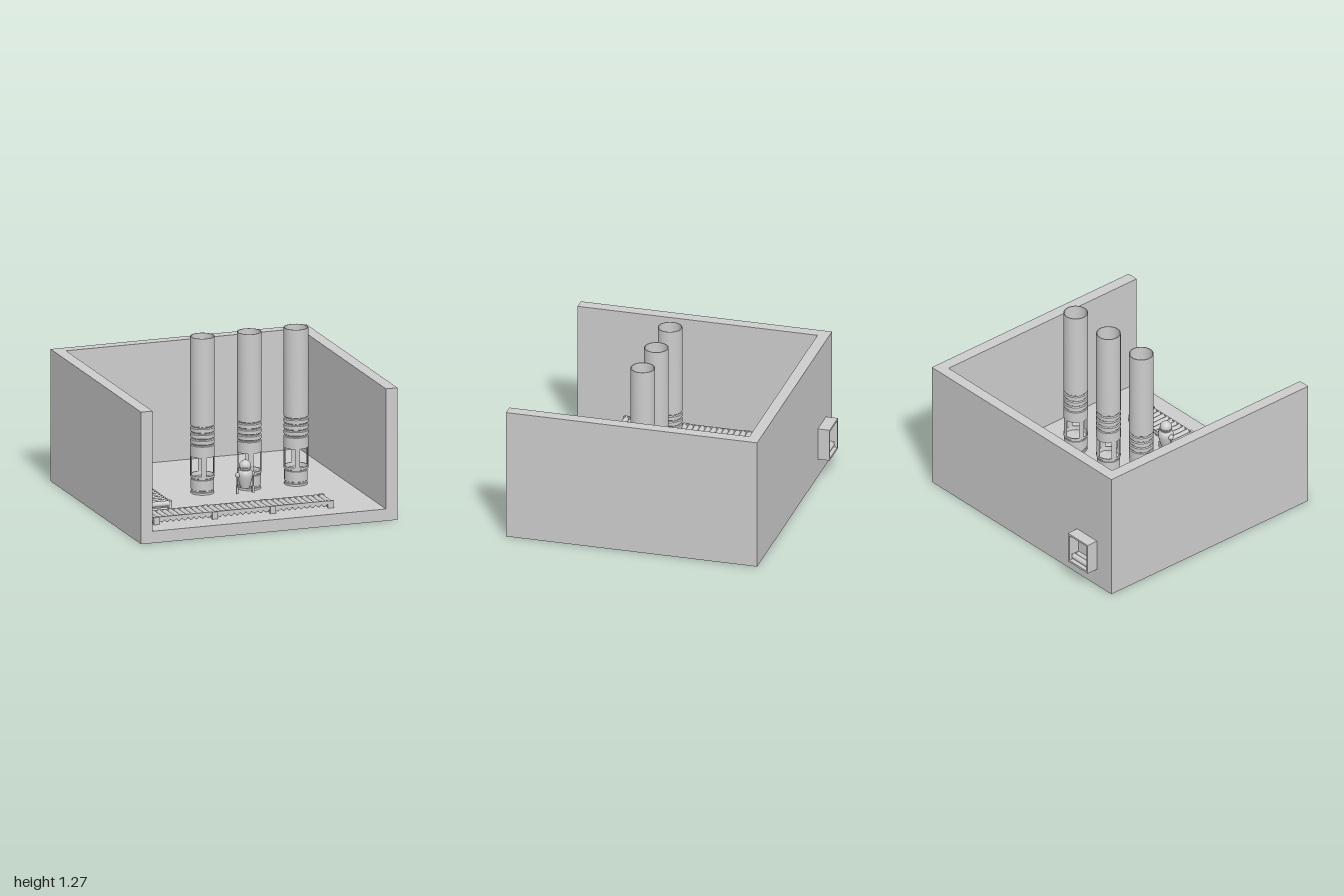
import * as THREE from 'three';
import { toCreasedNormals } from 'three/addons/utils/BufferGeometryUtils.js';

const mat = new THREE.MeshStandardMaterial({ color: 0xcccccc });
const thin = new THREE.MeshStandardMaterial({ color: 0xcccccc, side: THREE.DoubleSide });
const FLOOR = 0.09;

function add(parent, name, geometry, x = 0, y = 0, z = 0, material = mat) {
  const mesh = new THREE.Mesh(geometry, material);
  mesh.name = name;
  mesh.position.set(x, y, z);
  parent.add(mesh);
  return mesh;
}

// Box given by its low and high corners
function box(parent, name, a, b) {
  const size = b.map((v, i) => v - a[i]);
  const mid = b.map((v, i) => (v + a[i]) / 2);
  return add(parent, name, new THREE.BoxGeometry(...size), ...mid);
}

function lathe(points, sides = 32, start = 0, length = Math.PI * 2) {
  const g = new THREE.LatheGeometry(points.map(p => new THREE.Vector2(...p)), sides, start, length);
  return toCreasedNormals(g, 0.6);
}

// Floor and three walls, open towards the front
function room() {
  const g = new THREE.Group();
  g.name = 'room';
  box(g, 'floor', [-1, 0, -0.91], [1, FLOOR, 1]);
  const plan = new THREE.Shape([
    [-1, -1], [-0.91, -1], [-0.91, 0.825], [0.91, 0.825],
    [0.91, -1], [1, -1], [1, 0.91], [-1, 0.91],
  ].map(p => new THREE.Vector2(...p)));
  const walls = new THREE.ExtrudeGeometry(plan, { depth: 1 - FLOOR, bevelEnabled: false });
  add(g, 'walls', walls.rotateX(-Math.PI / 2), 0, FLOOR, 0);
  return g;
}

// Rectangular hatch frame on either side of the back wall
function hatch() {
  const outline = new THREE.Shape([[-0.84, 0.14], [-0.62, 0.14], [-0.62, 0.385], [-0.84, 0.385]]
    .map(p => new THREE.Vector2(...p)));
  outline.holes.push(new THREE.Path([[-0.825, 0.155], [-0.825, 0.37], [-0.635, 0.37], [-0.635, 0.155]]
    .map(p => new THREE.Vector2(...p))));
  const g = new THREE.Group();
  g.name = 'hatch';
  for (const [z, depth] of [[-1, 0.09], [-0.825, 0.275]])
    add(g, 'hatchFrame', new THREE.ExtrudeGeometry(outline, { depth, bevelEnabled: false }), 0, 0, z);
  return g;
}

// Roller conveyor along local x; top is the rail height
function conveyor(name, length, count, top, legs) {
  const g = new THREE.Group();
  g.name = name;
  const pitch = length / count;
  const roller = new THREE.CylinderGeometry(0.0215, 0.0215, 0.185, 16).rotateX(Math.PI / 2);
  for (let i = 0; i < count; i++)
    add(g, 'roller', roller, -length / 2 + pitch * (i + 0.5), top - 0.0225, 0);
  for (const s of [-1, 1]) {
    add(g, 'rail', new THREE.BoxGeometry(length, 0.026, 0.008), 0, top - 0.014, s * 0.095);
    for (const x of legs)
      add(g, 'leg', new THREE.BoxGeometry(0.044, top - FLOOR, 0.02), x, (top + FLOOR) / 2, s * 0.099);
  }
  for (const x of legs)
    add(g, 'crossbar', new THREE.BoxGeometry(0.044, 0.01, 0.19), x, top - 0.043, 0);
  return g;
}

// Hollow pipe with ribbed collar and four windows
function pipe(x) {
  const g = new THREE.Group();
  g.name = 'pipe';
  g.position.set(x, 0, 0.09);
  const R = 0.09, r = 0.083;
  const low = [[r, FLOOR], [0.086, FLOOR], [0.086, 0.105], [0.08, 0.108], [0.08, 0.118], [0.086, 0.121],
    [0.086, 0.198], [0.082, 0.2], [0.082, 0.208], [R, 0.212], [R, 0.23], [r, 0.23], [0.078, 0.2], [0, 0.2]];
  add(g, 'pipeBase', lathe(low), 0, 0, 0, thin);
  const high = [[r, 0.37], [R, 0.37], [R, 0.455]];
  for (let i = 0; i < 4; i++) {
    const y = 0.46 + i * 0.045;
    high.push([0.083, y], [0.083, y + 0.006], [R, y + 0.011], [R, y + 0.038]);
  }
  high.push([R, 1.275], [0.084, 1.275], [0.078, 0.6], [0.078, 0.4], [r, 0.37]);
  add(g, 'pipeShaft', lathe(high), 0, 0, 0, thin);
  const deg = Math.PI / 180;
  for (let i = 0; i < 4; i++)
    add(g, 'windowPost', lathe([[r, 0.23], [R, 0.23], [R, 0.37], [r, 0.37], [r, 0.23]],
      4, (-25 + 90 * i) * deg, 25 * deg), 0, 0, 0, thin);
  return g;
}

// Small hovering robot with hanging arms
function robot() {
  const g = new THREE.Group();
  g.name = 'robot';
  g.position.set(0, 0, 0.49);
  add(g, 'body', lathe([[0, 0.21], [0.034, 0.21], [0.038, 0.225], [0.048, 0.26], [0.056, 0.295],
    [0.057, 0.315], [0.052, 0.333], [0.04, 0.345], [0, 0.352]], 24));
  add(g, 'head', new THREE.SphereGeometry(0.045, 24, 16), 0, 0.375, 0);
  add(g, 'headBand', new THREE.TorusGeometry(0.044, 0.0025, 6, 24).rotateX(Math.PI / 2), 0, 0.365, 0);
  for (const s of [-1, 1]) {
    add(g, 'shoulder', new THREE.SphereGeometry(0.021, 16, 12), s * 0.055, 0.308, 0);
    const arm = add(g, 'arm', new THREE.CylinderGeometry(0.006, 0.006, 0.09, 10), s * 0.062, 0.26, 0);
    arm.rotation.z = s * 0.03;
    add(g, 'hand', new THREE.BoxGeometry(0.014, 0.05, 0.02), s * 0.062, 0.192, 0);
  }
  return g;
}

export function createModel() {
  const model = new THREE.Group();
  model.name = 'factoryRoom';
  model.add(room(), hatch(), robot());
  for (const x of [-0.185, 0.18, 0.545]) model.add(pipe(x));

  // Low conveyor across the front
  const front = conveyor('frontConveyor', 1.405, 31, 0.145, [-0.68, -0.225, 0.23, 0.68]);
  front.position.set(-0.1375, 0, 0.727);
  // Higher conveyor coming out of the hatch
  const side = conveyor('sideConveyor', 1.608, 36, 0.2, [0.354, 0.134, -0.326, -0.78]);
  side.rotation.y = Math.PI / 2;
  side.position.set(-0.729, 0, -0.176);
  model.add(front, side);
  return model;
}
